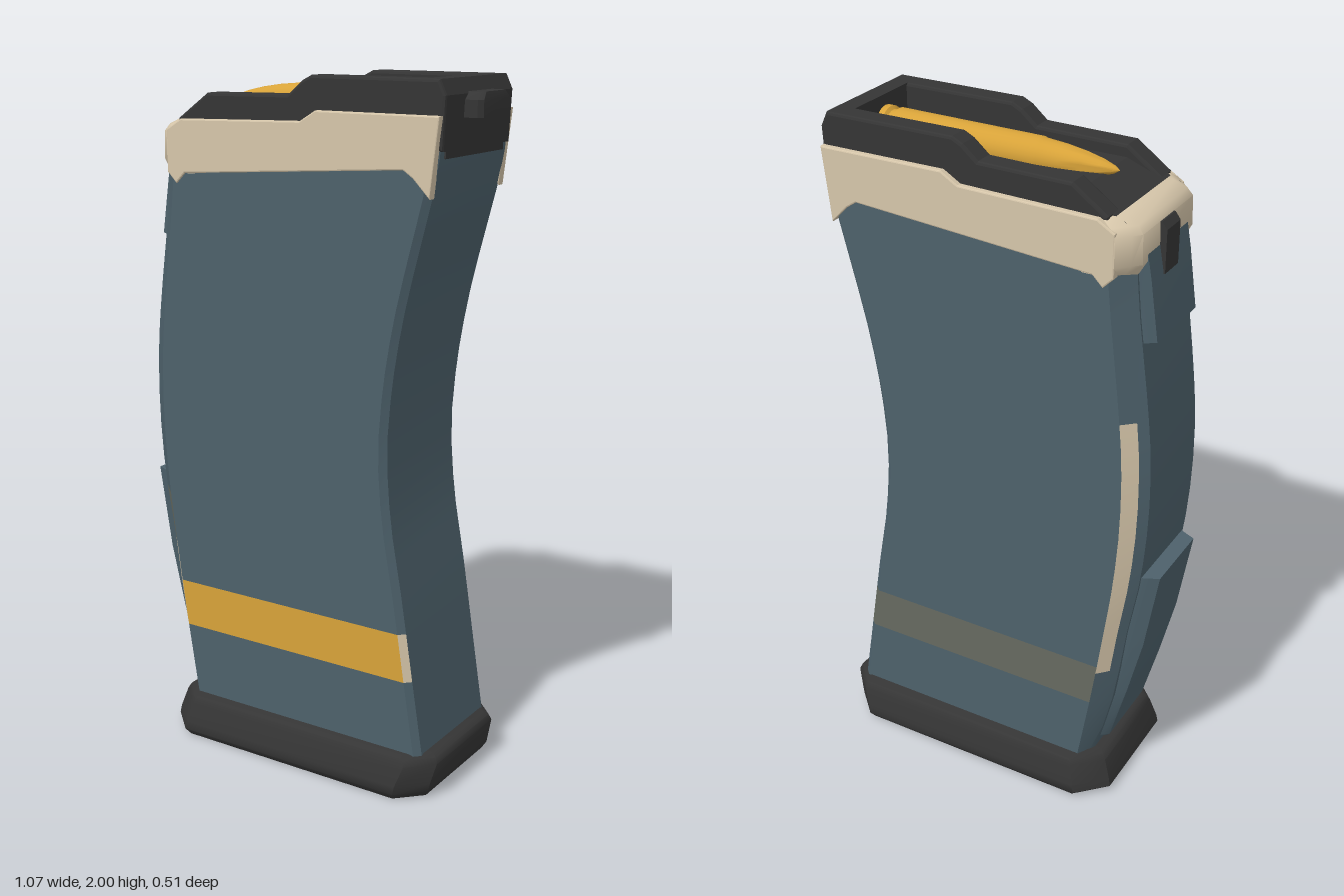
import * as THREE from 'three';
import { toCreasedNormals } from 'three/addons/utils/BufferGeometryUtils.js';

const mat = (name, color) => Object.assign(new THREE.MeshStandardMaterial({ color }), { name });
const blue = mat('slate blue', 0x4d616b);
const cream = mat('cream', 0xd6c6aa);
const gold = mat('gold', 0xd8a339);
const black = mat('charcoal', 0x353535);
const olive = mat('dull olive', 0x666a60);
const palette = [blue, cream, gold, olive];

function add(parent, name, geometry, material) {
  const mesh = new THREE.Mesh(geometry, material);
  mesh.name = name;
  parent.add(mesh);
  return mesh;
}

// Box-like cross-section with bevelled right corners and chamfered left corners.
// Sides: 0 right, 1 bevel, 2 back, 3-4 back chamfer, 5 spine, 6-7 front chamfer, 8 front, 9 bevel
function section(y, spine, left, right, zw, zs, bevel) {
  const f = 0.6, xm = left + (spine - left) * f, zm = zw + (zs - zw) * f;
  return [
    [right, zw - bevel], [right, bevel - zw], [right - bevel, -zw], [left, -zw], [xm, -zm],
    [spine, -zs], [spine, zs], [xm, zm], [left, zw], [right - bevel, zw],
  ].map(([x, z]) => new THREE.Vector3(x, y, z));
}

// Skin between stacked cross-sections; pick(y, side) chooses a palette index
function loft(rings, crease = 0.6, pick = () => 0) {
  const pos = [], geo = new THREE.BufferGeometry();
  const tri = (...pts) => pts.forEach((p) => pos.push(p.x, p.y, p.z));
  for (let i = 0; i < rings.length - 1; i++) {
    const lo = rings[i], hi = rings[i + 1], n = lo.length;
    for (let j = 0; j < n; j++) {
      const k = (j + 1) % n;
      geo.addGroup(pos.length / 3, 6, pick((lo[0].y + hi[0].y) / 2, j));
      tri(lo[j], lo[k], hi[k]);
      tri(lo[j], hi[k], hi[j]);
    }
  }
  const bottom = rings[0], top = rings[rings.length - 1];
  const start = pos.length / 3;
  for (let j = 1; j < top.length - 1; j++) {
    tri(top[0], top[j], top[j + 1]);
    tri(bottom[0], bottom[j + 1], bottom[j]);
  }
  geo.addGroup(start, pos.length / 3 - start, 0);
  geo.setAttribute('position', new THREE.Float32BufferAttribute(pos, 3));
  return toCreasedNormals(geo, crease);
}

// Extrude a side-on outline between two depths
function slab(points, z0, z1, bevel = 0) {
  const shape = new THREE.Shape(points.map(([x, y]) => new THREE.Vector2(x, y)));
  const geo = new THREE.ExtrudeGeometry(shape, {
    depth: z1 - z0 - 2 * bevel, bevelEnabled: bevel > 0, bevelSize: bevel,
    bevelThickness: bevel, bevelOffset: -bevel, bevelSegments: 2,
  });
  return geo.translate(0, 0, z0 + bevel);
}

// Curved body outline: height, spine x, left x, right x
const outline = [
  [0.1, -0.36, -0.33, 0.45], [0.35, -0.42, -0.37, 0.41], [0.6, -0.455, -0.405, 0.37],
  [0.8, -0.488, -0.43, 0.335], [1.0, -0.503, -0.443, 0.32], [1.2, -0.5, -0.44, 0.335],
  [1.4, -0.478, -0.42, 0.37], [1.6, -0.45, -0.395, 0.42], [1.75, -0.435, -0.38, 0.457],
  [1.9, -0.425, -0.375, 0.477],
];
const curves = [1, 2, 3].map((c) =>
  new THREE.CatmullRomCurve3(outline.map((r) => new THREE.Vector3(r[c], r[0], 0))));
function xAt(curve, y) {
  let a = 0, b = 1;
  for (let i = 0; i < 30; i++) {
    const m = (a + b) / 2;
    if (curve.getPoint(m).y < y) a = m; else b = m;
  }
  return curve.getPoint(a).x;
}

function bodyColour(y, side) {
  const band = y > 0.345 && y < 0.485;
  if (band && side === 8) return 2;
  if (band && side === 9) return 1;
  if (band && (side === 1 || side === 2)) return 3;
  if ((side === 6 || side === 7) && y < 0.76) return y < 0.6 ? 1 : 3;
  if (side === 3 && y > 0.46 && y < 1.31) return 1;
  return 0;
}

export function createModel() {
  const model = new THREE.Group();
  model.name = 'curvedMagazine';

  // Curved body with painted band and edge strips
  const levels = [0.1, 0.22, 0.345, 0.46, 0.485, 0.6, 0.68, 0.76, 0.85, 0.95, 1.05, 1.15,
    1.23, 1.31, 1.4, 1.5, 1.6, 1.7, 1.8, 1.87];
  const rings = levels.map((y) => section(y, ...curves.map((c) => xAt(c, y)), 0.2, 0.145, 0.018));
  rings[rings.length - 1].forEach((p) => { p.y = 1.845 + (p.x + 0.45) * 0.06; });
  add(model, 'body', loft(rings, 0.6, bodyColour), palette);

  // Raised blocks on the spine
  add(model, 'lowerSpineBlock', loft([
    section(0.13, -0.35, -0.33, -0.28, 0.14, 0.11, 0.01),
    section(0.17, -0.4, -0.36, -0.3, 0.145, 0.115, 0.01),
    section(0.36, -0.45, -0.39, -0.34, 0.145, 0.115, 0.01),
    section(0.55, -0.495, -0.43, -0.38, 0.145, 0.115, 0.01),
    section(0.8, -0.535, -0.47, -0.42, 0.145, 0.115, 0.01),
  ]), blue);
  add(model, 'upperSpineBlock', loft([
    section(1.53, -0.49, -0.45, -0.36, 0.145, 0.12, 0.01),
    section(1.7, -0.465, -0.43, -0.36, 0.145, 0.12, 0.01),
    section(1.78, -0.45, -0.42, -0.36, 0.145, 0.12, 0.01),
  ]), blue);

  // Base plate
  add(model, 'basePlate', loft([
    section(0, -0.42, -0.34, 0.455, 0.24, 0.16, 0.07),
    section(0.02, -0.435, -0.35, 0.467, 0.255, 0.172, 0.075),
    section(0.045, -0.43, -0.345, 0.472, 0.253, 0.17, 0.075),
    section(0.105, -0.41, -0.33, 0.487, 0.238, 0.16, 0.07),
    section(0.122, -0.4, -0.325, 0.48, 0.232, 0.155, 0.07),
    section(0.13, -0.385, -0.315, 0.465, 0.22, 0.145, 0.07),
  ], 0.75), black);

  // Cream collar: side plates and rounded end wrap
  const plate = [[-0.37, 1.69], [-0.34, 1.72], [0.37, 1.77], [0.4, 1.75], [0.45, 1.7], [0.475, 1.91],
    [0.1, 1.91], [0.05, 1.88], [-0.35, 1.87], [-0.4, 1.84], [-0.4, 1.72]];
  add(model, 'frontCollarPlate', slab(plate, 0.178, 0.206, 0.004), cream);
  add(model, 'backCollarPlate', slab(plate, -0.206, -0.178, 0.004), cream);
  add(model, 'collarEnd', loft([
    section(1.72, -0.438, -0.375, -0.3, 0.203, 0.145, 0.01),
    section(1.75, -0.453, -0.4, -0.3, 0.205, 0.15, 0.01),
    section(1.83, -0.45, -0.4, -0.3, 0.205, 0.15, 0.01),
    section(1.85, -0.435, -0.385, -0.3, 0.2, 0.145, 0.01),
    section(1.868, -0.4, -0.36, -0.3, 0.185, 0.135, 0.01),
  ], 0.75), cream);

  // Feed deck with stepped lips and rear wall
  add(model, 'deckFloor', slab([[-0.41, 1.8], [0.47, 1.8], [0.47, 1.91], [-0.27, 1.91],
    [-0.37, 1.872], [-0.41, 1.855]], -0.16, 0.16), black);
  const lip = [[-0.37, 1.82], [0.475, 1.82], [0.482, 1.96], [0.463, 2], [0.075, 2], [0.045, 1.985],
    [0.0, 1.947], [-0.27, 1.943], [-0.37, 1.872]];
  for (const [name, z] of [['frontFeedLip', 0.12], ['backFeedLip', -0.188]]) {
    add(model, name, slab(lip, z, z + 0.068, 0.008), black);
  }
  add(model, 'rearWall', slab([[0.41, 1.82], [0.475, 1.82], [0.482, 1.96], [0.463, 2], [0.41, 2]],
    -0.14, 0.14), black);

  // Rear tab and end catch
  add(model, 'rearTab', loft([
    section(1.9, 0.46, 0.46, 0.53, 0.085, 0.085, 0.012),
    section(1.945, 0.46, 0.46, 0.53, 0.085, 0.085, 0.012),
    section(1.965, 0.46, 0.46, 0.525, 0.065, 0.065, 0.012),
  ]), black);
  add(model, 'endCatch', slab([[-0.47, 1.69], [-0.44, 1.69], [-0.44, 1.83], [-0.455, 1.83],
    [-0.47, 1.81]], -0.05, 0.03), black);

  // Top cartridge, turned about its long axis
  const profile = [[0, -0.31], [0.01, -0.295], [0.022, -0.26], [0.033, -0.21], [0.042, -0.15],
    [0.047, -0.09], [0.05, -0.08], [0.054, 0.355], [0.046, 0.358], [0.046, 0.375],
    [0.055, 0.382], [0.055, 0.4], [0, 0.4]].map(([r, l]) => new THREE.Vector2(r, l));
  const round = toCreasedNormals(new THREE.LatheGeometry(profile, 24), 0.6);
  const cartridge = add(model, 'cartridge', round, gold);
  cartridge.rotation.z = -Math.PI / 2;
  cartridge.position.y = 1.92;

  return model;
}
